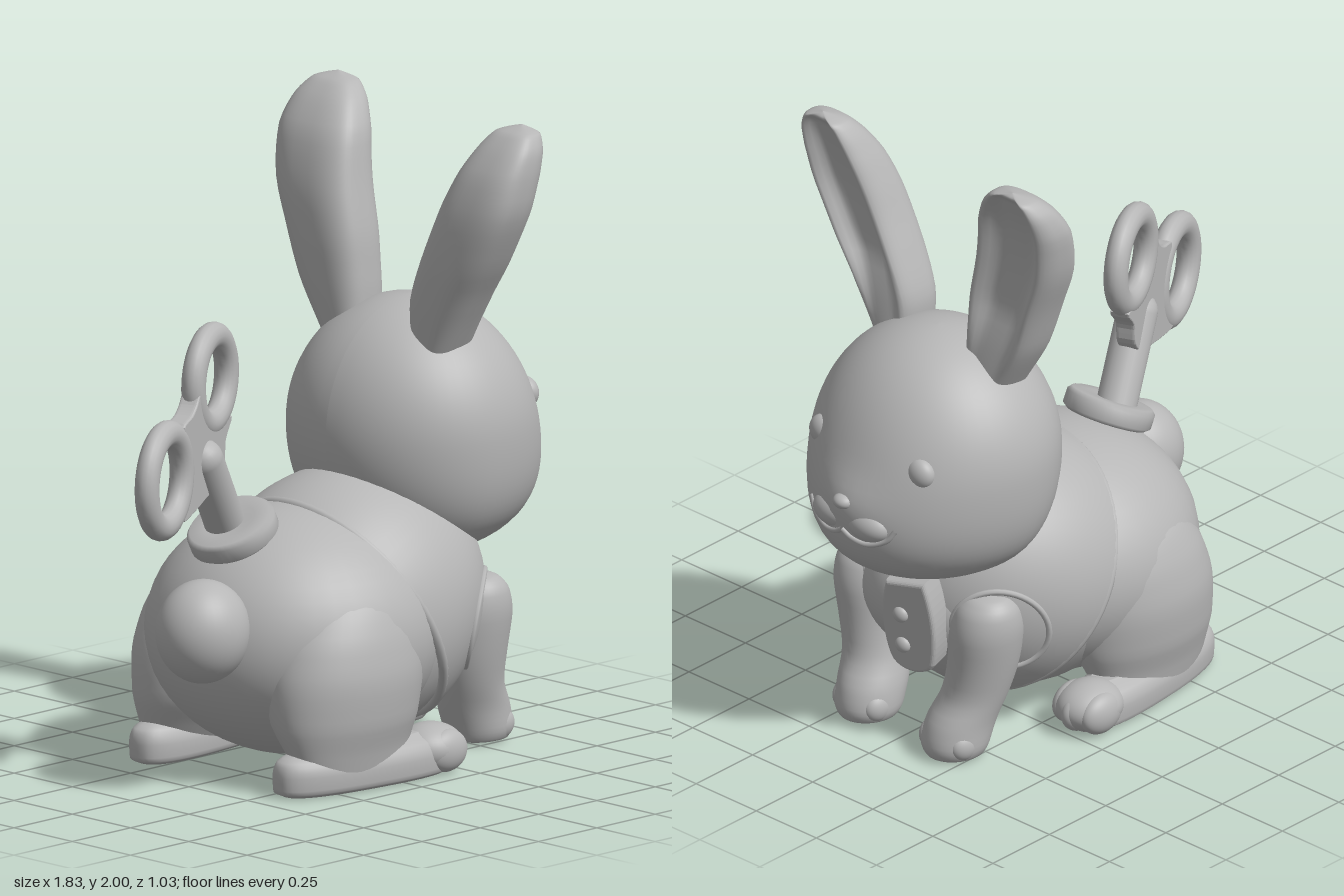
import * as THREE from 'three';

const gray = new THREE.MeshStandardMaterial({ color: 0xb6b6b6, side: THREE.DoubleSide });
gray.name = 'plain gray';

const V = (x, y, z) => new THREE.Vector3(x, y, z);

function add(parent, name, geo, pos = [0, 0, 0]) {
  const m = new THREE.Mesh(geo, gray);
  m.name = name;
  m.position.set(...pos);
  parent.add(m);
  return m;
}

const ball = (parent, name, pos, r) => add(parent, name, new THREE.SphereGeometry(1, 40, 28).scale(...r), pos);

const tube = (parent, name, pts, r, closed = false) =>
  add(parent, name, new THREE.TubeGeometry(new THREE.CatmullRomCurve3(pts, closed), 48, r, 8, closed));

// Smooth loft of level slices; rows are [y, centre x, half depth x, centre z, half width z]
function loft(rows, { dent = 0, power = 1, front = 1, steps = 40, sides = 48 } = {}) {
  const centres = new THREE.CatmullRomCurve3(rows.map(r => V(r[1], r[0], r[3])));
  const sizes = new THREE.CatmullRomCurve3(rows.map(r => V(r[2], r[4], 0)));
  const bend = v => Math.sign(v) * Math.abs(v) ** power;
  const pos = [], idx = [];
  for (let i = 0; i <= steps; i++) {
    // same row parameter for both curves, denser towards the ends
    const t = (1 - Math.cos(i / steps * Math.PI)) / 2, c = centres.getPoint(t), s = sizes.getPoint(t);
    // the hollow fades out at both ends
    const hollow = dent * Math.min(1, (1 - t) * 5) * Math.min(1, t * 4);
    for (let j = 0; j < sides; j++) {
      const a = j / sides * Math.PI * 2, u = bend(Math.cos(a));
      let v = bend(Math.sin(a));
      if (v > 0) v *= front * (1 - hollow * Math.exp(-((u / 0.66) ** 6)));
      pos.push(c.x + Math.max(s.x, 0) * v, c.y, c.z + Math.max(s.y, 0) * u);
      if (i < steps) {
        const k = (j + 1) % sides, p = i * sides;
        idx.push(p + j, p + sides + j, p + k, p + k, p + sides + j, p + sides + k);
      }
    }
  }
  // end caps
  const top = steps * sides;
  for (let j = 1; j < sides - 1; j++) idx.push(0, j, j + 1, top, top + j + 1, top + j);
  const g = new THREE.BufferGeometry();
  g.setAttribute('position', new THREE.Float32BufferAttribute(pos, 3));
  g.setIndex(idx);
  g.computeVertexNormals();
  return g;
}

// Head: sphere with full cheeks and the lower face pushed forward
const HEAD = V(0.46, 0.98, -0.015);
function headShape(p) {
  const push = p.x > 0 ? p.x ** 1.2 * (0.042 * (1 - p.y) ** 2.5 + 0.02 * Math.exp(-(((p.y + 0.12) / 0.2) ** 2 + (p.z / 0.3) ** 2))) : 0;
  const cheek = p.y < 0 ? 1 + 0.3 * p.y * p.y : 1;
  return V(HEAD.x + 0.36 * p.x + push, HEAD.y + 0.4 * p.y, HEAD.z + 0.39 * p.z * cheek);
}
function onFace(y, z) {
  const py = (y - HEAD.y) / 0.4, pz = z / 0.39;
  return headShape(V(Math.sqrt(Math.max(0, 1 - py * py - pz * pz)), py, pz));
}

function buildHead(g) {
  const geo = new THREE.SphereGeometry(1, 56, 40), p = geo.attributes.position;
  for (let i = 0; i < p.count; i++) {
    const q = headShape(V(p.getX(i), p.getY(i), p.getZ(i)));
    p.setXYZ(i, q.x, q.y, q.z);
  }
  geo.computeVertexNormals();
  add(g, 'head', geo);
  const nose = onFace(0.935, 0);
  ball(g, 'nose', [nose.x - 0.012, nose.y, nose.z], [0.032, 0.024, 0.034]);
  for (const s of [1, -1]) {
    const lip = onFace(0.865, s * 0.065);
    ball(g, 'muzzle cheek', [lip.x - 0.042, lip.y, lip.z], [0.055, 0.055, 0.085]);
    const eye = onFace(1.055, s * 0.2);
    ball(g, 'eye', [eye.x - 0.03, eye.y, eye.z], [0.038, 0.05, 0.052]);
    tube(g, 'smile', [[0.17, 0.875], [0.14, 0.835], [0.08, 0.81], [0.03, 0.82], [0, 0.84]].map(([z, y]) => onFace(y, s * z)), 0.009);
  }

  // Ears, the right one a little taller and wider
  const ear = { dent: 0.62, power: 0.75, front: 1.38 };
  add(g, 'left ear', loft([
    [1.24, 0.39, 0.075, 0.175, 0.065], [1.4, 0.388, 0.088, 0.217, 0.115], [1.55, 0.388, 0.094, 0.29, 0.135],
    [1.7, 0.398, 0.093, 0.357, 0.14], [1.82, 0.426, 0.085, 0.392, 0.125], [1.9, 0.46, 0.067, 0.41, 0.102],
    [1.95, 0.49, 0.045, 0.415, 0.07], [1.972, 0.51, 0, 0.418, 0]], ear));
  add(g, 'right ear', loft([
    [1.24, 0.39, 0.075, -0.2, 0.08], [1.4, 0.388, 0.088, -0.25, 0.125], [1.55, 0.388, 0.094, -0.285, 0.145],
    [1.7, 0.398, 0.093, -0.33, 0.157], [1.84, 0.43, 0.085, -0.357, 0.154], [1.93, 0.475, 0.067, -0.375, 0.122],
    [1.98, 0.51, 0.043, -0.385, 0.075], [2.0, 0.53, 0, -0.39, 0]], ear));
}

function buildVest(g) {
  // Tilted frame: local y points forward and up along the chest
  const v = new THREE.Group();
  v.name = 'vest';
  v.position.set(0.14, 0.455, 0);
  v.rotation.z = -1.07;
  g.add(v);
  const R = V(0.42, 0.49, 0.42);
  ball(v, 'chest', [0, 0, 0], [0.4, 0.46, 0.395]);
  add(v, 'vest shell', new THREE.SphereGeometry(1, 56, 24, 0, Math.PI * 2, 0, Math.PI / 2).scale(R.x, R.y, R.z));
  add(v, 'vest hem', new THREE.TorusGeometry(1, 0.035, 8, 64).rotateX(Math.PI / 2).scale(R.x - 0.012, 0.5, R.z - 0.012));
  for (const s of [1, -1]) {
    // armhole edging laid on the shell
    const d = V(0.47, 0.56, 0.68 * s).normalize();
    const a = V(0, 1, 0).cross(d).normalize(), b = d.clone().cross(a);
    const pts = [];
    for (let i = 0; i < 20; i++) {
      const t = i / 20 * Math.PI * 2;
      pts.push(d.clone().multiplyScalar(Math.cos(0.34))
        .addScaledVector(a, Math.sin(0.34) * Math.cos(t))
        .addScaledVector(b, Math.sin(0.34) * Math.sin(t)).multiply(R));
    }
    tube(v, 'armhole edge', pts, 0.01, true);
  }

  // Rounded vest front with an overlapping buttoned panel
  ball(g, 'vest front', [0.46, 0.45, 0.01], [0.18, 0.2, 0.24]);
  const s = new THREE.Shape();
  s.moveTo(-0.06, 0.14);
  s.bezierCurveTo(-0.09, 0.05, -0.08, -0.07, -0.06, -0.12);
  s.bezierCurveTo(-0.04, -0.17, 0.05, -0.16, 0.07, -0.12);
  s.bezierCurveTo(0.09, -0.04, 0.09, 0.06, 0.06, 0.16);
  s.closePath();
  const panel = new THREE.Group();
  panel.name = 'right front panel';
  panel.position.set(0.655, 0.44, -0.08);
  panel.rotation.y = Math.PI / 2 + 0.2;
  g.add(panel);
  add(panel, 'panel cloth', new THREE.ExtrudeGeometry(s,
    { depth: 0.06, bevelSize: 0.012, bevelThickness: 0.015, bevelSegments: 4, curveSegments: 12 })
    .translate(0, 0, -0.06)).rotation.x = 0.12;
  for (const y of [0.04, -0.07]) ball(panel, 'button', [-0.02, y, 0.016 + y * 0.12], [0.026, 0.026, 0.018]);
}

function buildKey(g) {
  const collar = [[0, 0], [0.125, 0], [0.14, 0.012], [0.14, 0.055], [0.128, 0.068], [0.08, 0.068], [0, 0.06]];
  const disc = add(g, 'key collar', new THREE.LatheGeometry(collar.map(([x, y]) => new THREE.Vector2(x, y)), 40), [-0.297, 0.743, 0]);
  disc.quaternion.setFromUnitVectors(V(0, 1, 0), V(-0.45, 0.89, 0).normalize());
  const a = V(-0.3, 0.755, -0.03), b = V(-0.485, 1.04, 0.04);
  const stem = add(g, 'key stem', new THREE.CapsuleGeometry(0.063, 0.32, 6, 24));
  stem.position.lerpVectors(a, b, 0.5);
  stem.quaternion.setFromUnitVectors(V(0, 1, 0), b.sub(a).normalize());

  const key = new THREE.Group();
  key.name = 'key handle';
  key.position.set(-0.57, 1.14, 0.065);
  key.rotation.y = 0.407;
  g.add(key);
  const flat = (x, y) => new THREE.Vector2((x + 0.57) / 0.918, y - 1.14);
  for (const [x, y, r] of [[-0.402, 1.257, 0.135], [-0.745, 1.025, 0.143]]) {
    const c = flat(x, y);
    add(key, 'key ring', new THREE.TorusGeometry(r, 0.042, 16, 48).scale(1, 1, 0.88), [c.x, c.y, 0]);
  }
  // web with softly curved notches between the rings and the stem
  const edge = [[-0.53, 1.255], [-0.5, 1.18], [-0.46, 1.13], [-0.4, 1.115], [-0.31, 1.12], [-0.355, 1.06], [-0.365, 0.99],
    [-0.42, 0.935], [-0.5, 0.915], [-0.58, 0.895], [-0.67, 0.885], [-0.635, 0.95], [-0.612, 1.04], [-0.64, 1.13], [-0.66, 1.17],
    [-0.6, 1.19], [-0.565, 1.215]];
  const web = new THREE.CatmullRomCurve3(edge.map(([x, y]) => { const q = flat(x, y); return V(q.x, q.y, 0); }), true)
    .getPoints(68).slice(0, -1).map(q => new THREE.Vector2(q.x, q.y));
  add(key, 'key web', new THREE.ExtrudeGeometry(new THREE.Shape(web),
    { depth: 0.042, bevelSize: 0.005, bevelThickness: 0.01, bevelSegments: 3 }).translate(0, 0, -0.021));
}

function buildLegs(g, s) {
  const side = s > 0 ? 'left' : 'right';
  // Front arm with paw
  add(g, side + ' arm', loft([
    [0.005, 0.56, 0, 0.18 * s, 0], [0.012, 0.56, 0.095, 0.18 * s, 0.085], [0.05, 0.558, 0.112, 0.18 * s, 0.102],
    [0.12, 0.535, 0.118, 0.185 * s, 0.102], [0.2, 0.5, 0.108, 0.205 * s, 0.1], [0.3, 0.485, 0.115, 0.225 * s, 0.104],
    [0.42, 0.485, 0.12, 0.24 * s, 0.11], [0.5, 0.487, 0.1, 0.245 * s, 0.1], [0.54, 0.487, 0.062, 0.245 * s, 0.068],
    [0.555, 0.487, 0, 0.245 * s, 0]]));
  for (const dz of [-0.062, 0, 0.062])
    ball(g, side + ' finger', [0.612 - Math.abs(dz) * 0.4, 0.06, 0.18 * s + dz], [0.055, 0.05, 0.038]);

  // Haunch tapering down to a long hind foot, turned slightly outward
  add(g, side + ' haunch', loft([
    [0.06, -0.13, 0.21, 0.33 * s, 0.1], [0.13, -0.135, 0.235, 0.315 * s, 0.13], [0.22, -0.13, 0.268, 0.295 * s, 0.175],
    [0.35, -0.12, 0.28, 0.28 * s, 0.2], [0.46, -0.11, 0.26, 0.27 * s, 0.192], [0.56, -0.1, 0.205, 0.26 * s, 0.16],
    [0.62, -0.09, 0.14, 0.25 * s, 0.11], [0.65, -0.09, 0, 0.24 * s, 0]]));
  add(g, side + ' foot', loft([
    [0.005, -0.055, 0.3, 0.345 * s, 0.08], [0.02, -0.055, 0.328, 0.345 * s, 0.1], [0.07, -0.055, 0.33, 0.345 * s, 0.103],
    [0.11, -0.06, 0.315, 0.345 * s, 0.09], [0.14, -0.07, 0.24, 0.34 * s, 0.05]], { power: 0.78, steps: 16 })).rotation.y = -0.11 * s;
  ball(g, side + ' toe pad', [0.165, 0.08, 0.368 * s], [0.11, 0.076, 0.1]);
  for (const dz of [-0.058, 0, 0.058])
    ball(g, side + ' toe', [0.2 - Math.abs(dz) * 0.4, 0.075, 0.368 * s + dz], [0.08, 0.066, 0.044]);
}

export function createModel() {
  const g = new THREE.Group();
  g.name = 'wind-up rabbit';
  ball(g, 'body', [-0.05, 0.43, 0], [0.46, 0.385, 0.45]);
  ball(g, 'tail', [-0.53, 0.51, 0.09], [0.15, 0.16, 0.14]);
  buildVest(g);
  buildHead(g);
  buildKey(g);
  for (const s of [1, -1]) buildLegs(g, s);
  return g;
}
